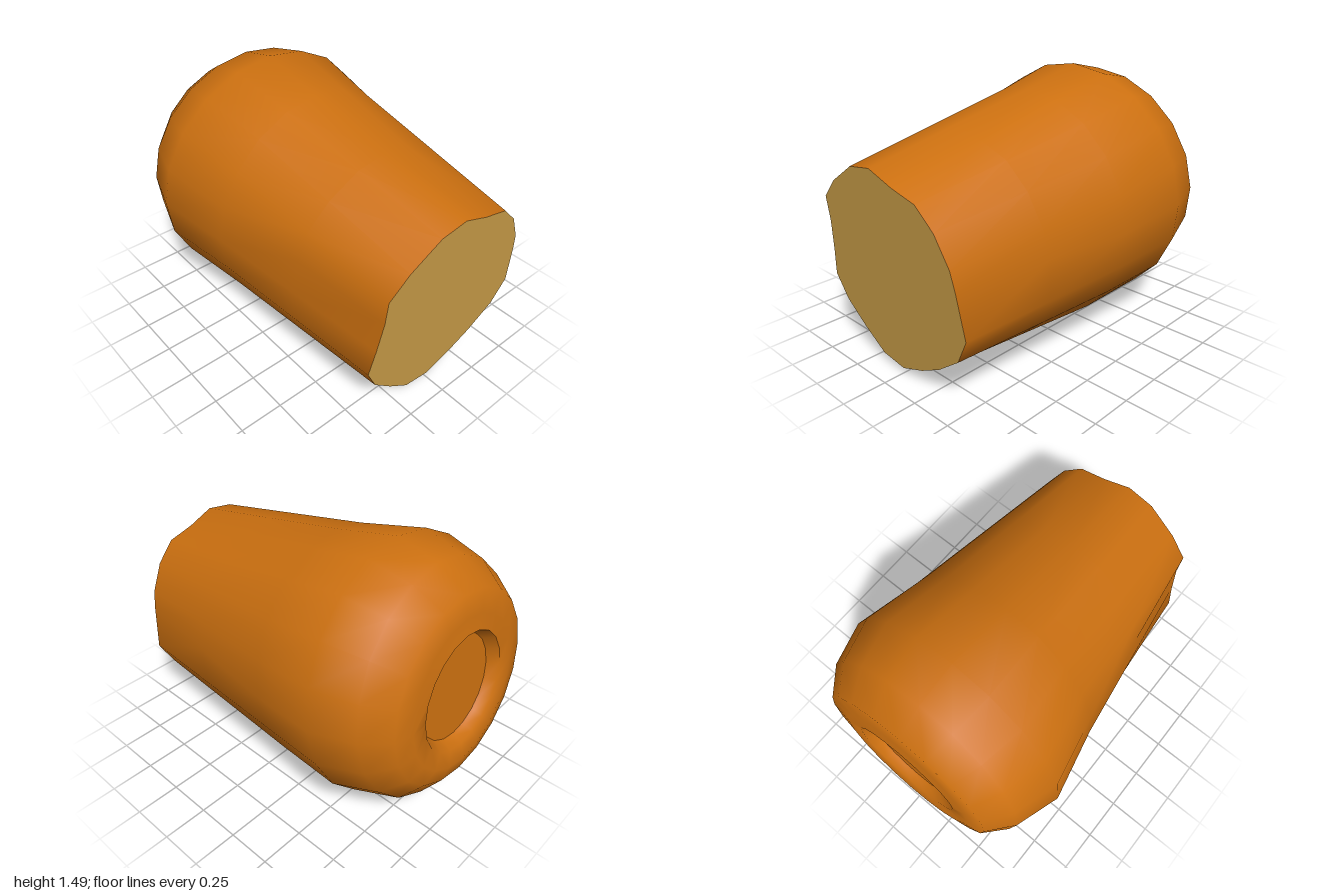
import * as THREE from 'three';
import { toCreasedNormals } from 'three/addons/utils/BufferGeometryUtils.js';

const SIDES = 20;

// Tilted ring: topX/topY and bottomX/bottomY are its extremes, front/back its half widths in z
function ring([topX, topY, bottomX, bottomY, front, back]) {
  return Array.from({ length: SIDES }, (_, j) => {
    const t = (j / SIDES) * Math.PI * 2;
    const k = (1 + Math.cos(t)) / 2;
    const s = Math.sin(t);
    return new THREE.Vector3(
      THREE.MathUtils.lerp(bottomX, topX, k),
      THREE.MathUtils.lerp(bottomY, topY, k),
      s * (s > 0 ? front : back));
  });
}

// Skin joining rings ordered from -x to +x
function loft(rings) {
  const index = [];
  for (let i = 0; i < rings.length - 1; i++) {
    for (let j = 0; j < SIDES; j++) {
      const n = (j + 1) % SIDES;
      const a = i * SIDES + j, b = i * SIDES + n;
      index.push(a, b, a + SIDES, b, b + SIDES, a + SIDES);
    }
  }
  const geometry = new THREE.BufferGeometry().setFromPoints(rings.flat());
  geometry.setIndex(index);
  return toCreasedNormals(geometry, 1.0);
}

// Flat fan filling one ring, facing +x or -x
function disc(points, facing) {
  const centre = points.reduce((sum, p) => sum.add(p), new THREE.Vector3()).divideScalar(SIDES);
  const index = [];
  for (let j = 0; j < SIDES; j++) {
    const a = j + 1, b = ((j + 1) % SIDES) + 1;
    index.push(0, ...(facing > 0 ? [a, b] : [b, a]));
  }
  const geometry = new THREE.BufferGeometry().setFromPoints([centre, ...points]);
  geometry.setIndex(index);
  geometry.computeVertexNormals();
  return geometry;
}

export function createModel() {
  const group = new THREE.Group();
  const skin = new THREE.MeshStandardMaterial({ color: 0xcc7010 });
  const flesh = new THREE.MeshStandardMaterial({ color: 0xd0a24a });
  const add = (name, geometry, material) => {
    const mesh = new THREE.Mesh(geometry, material);
    mesh.name = name;
    group.add(mesh);
  };

  // Uneven outline of the cut end as [z, y], lying on a slanted plane
  const cut = [
    [0, 1.18], [0.16, 1.155], [0.34, 1.04], [0.455, 0.925], [0.455, 0.78],
    [0.48, 0.6], [0.51, 0.44], [0.44, 0.3], [0.31, 0.175], [0.165, 0.06],
    [0, 0.035], [-0.17, 0.1], [-0.32, 0.18], [-0.48, 0.3], [-0.56, 0.45],
    [-0.53, 0.7], [-0.51, 0.81], [-0.43, 0.97], [-0.32, 1.08], [-0.16, 1.12],
  ].map(([z, y]) => new THREE.Vector3(0.875 + (y - 0.035) * 0.109, y, z));

  // Stem hollow, rounded shoulder and start of the taper
  const rings = [
    [-0.87, 1.08, -0.92, 0.49, 0.29, 0.29],
    [-0.88, 1.09, -0.935, 0.48, 0.3, 0.3],
    [-0.93, 1.12, -0.975, 0.45, 0.33, 0.33],
    [-0.91, 1.2, -1.0, 0.36, 0.43, 0.43],
    [-0.89, 1.33, -0.985, 0.28, 0.54, 0.55],
    [-0.72, 1.44, -0.89, 0.145, 0.65, 0.66],
    [-0.48, 1.495, -0.63, 0.035, 0.73, 0.735],
    [-0.08, 1.4, -0.2, 0.005, 0.64, 0.675],
  ].map(ring);

  // The taper gradually takes on the outline of the cut
  const last = rings[rings.length - 1];
  rings.push(last.map((p, j) => p.clone().lerp(cut[j], 0.5)), cut);

  add('skin', loft(rings), skin);
  add('stemHollowFloor', disc(rings[0], -1), skin);
  add('cutEnd', disc(cut, 1), flesh);
  return group;
}
